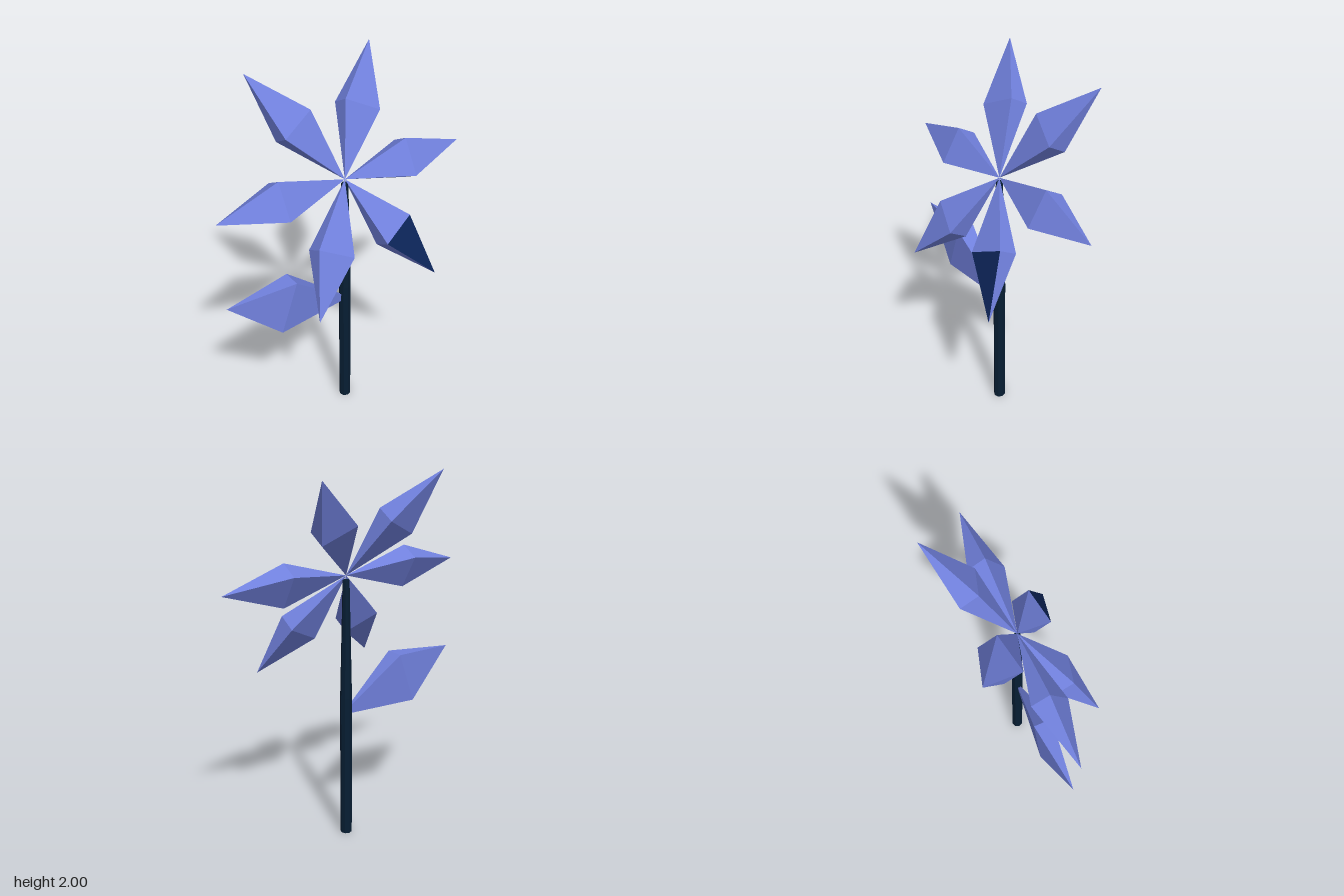
import * as THREE from 'three';

// Faceted bud shape along +x: point, rectangular waist, point.
// Group 1 is the outer front face, so it can take its own colour.
function budGeometry(length, mid, w, t) {
  const base = [0, 0, 0], tip = [length, 0, 0];
  const ring = [[mid, w, t], [mid, -w, t], [mid, -w, -t], [mid, w, -t]];
  const pos = [];
  for (let i = 0; i < 4; i++) pos.push(...ring[i], ...ring[(i + 1) % 4], ...tip);
  for (let i = 0; i < 4; i++) pos.push(...ring[(i + 1) % 4], ...ring[i], ...base);
  const g = new THREE.BufferGeometry();
  g.setAttribute('position', new THREE.Float32BufferAttribute(pos, 3));
  g.computeVertexNormals();
  g.addGroup(0, 3, 1);
  g.addGroup(3, 21, 0);
  return g;
}

function material(name, color) {
  const m = new THREE.MeshStandardMaterial({ color, flatShading: true });
  m.name = name;
  return m;
}

export function createModel() {
  const model = new THREE.Group();
  model.name = 'flower';
  const violet = material('periwinkle', 0x7080dc);
  const navy = material('navy', 0x0c2458);
  const stemColor = material('darkStem', 0x071e33);

  // Stem: straight below, tapering to the blossom
  const lower = new THREE.Mesh(new THREE.CylinderGeometry(0.032, 0.032, 0.8, 8), stemColor);
  lower.name = 'lowerStem';
  lower.position.y = 0.4;
  const upper = new THREE.Mesh(new THREE.CylinderGeometry(0.018, 0.032, 0.64, 8), stemColor);
  upper.name = 'upperStem';
  upper.position.y = 1.12;
  model.add(lower, upper);

  // Blossom: six petals in a ring, leaning back
  const blossom = new THREE.Group();
  blossom.name = 'blossom';
  blossom.position.y = 1.462;
  blossom.rotation.x = -Math.PI / 6;
  const petalGeometry = budGeometry(0.717, 0.375, 0.1, 0.054);
  for (let i = 0; i < 6; i++) {
    // The lower left petal has one navy facet
    const petal = new THREE.Mesh(petalGeometry, [violet, i === 5 ? navy : violet]);
    petal.name = 'petal' + (i + 1);
    petal.rotation.z = i * Math.PI / 3;
    blossom.add(petal);
  }
  model.add(blossom);

  // Leaf
  const leaf = new THREE.Mesh(budGeometry(0.775, 0.428, 0.148, 0.05), [violet, violet]);
  leaf.name = 'leaf';
  leaf.position.set(0.03, 0.705, 0);
  leaf.rotation.z = Math.PI - Math.atan2(0.25, 0.73);
  model.add(leaf);

  return model;
}
